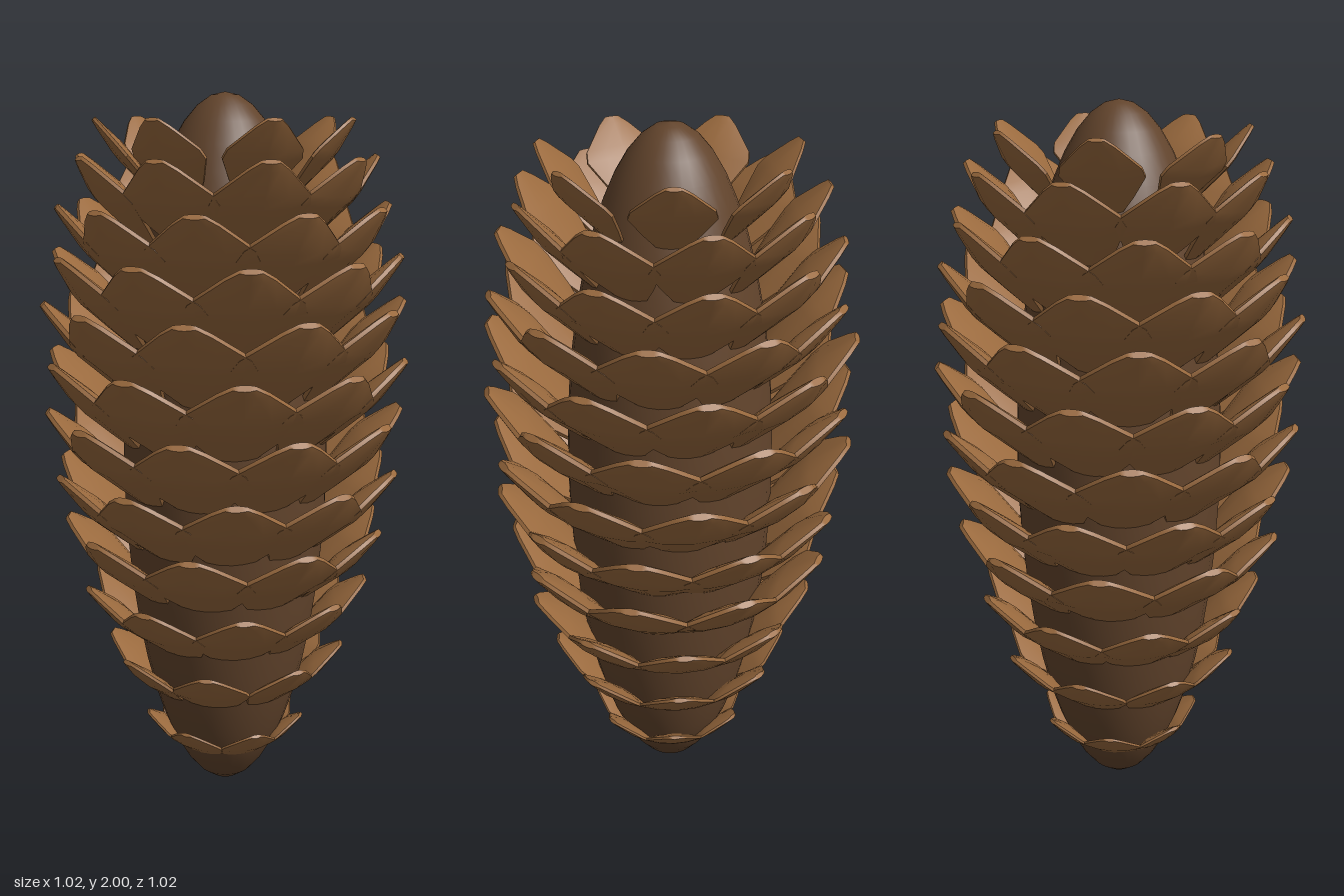
import * as THREE from 'three';
import { toCreasedNormals } from 'three/addons/utils/BufferGeometryUtils.js';

// One woody scale: a lens-shaped plate on a narrow stalk, lofted from cross-sections.
// Tip at the origin, base at y = -1, outer face towards +z, half width 0.5.
function scaleGeometry() {
  const stations = [[-1, 0.12], [-0.72, 0.33], [-0.45, 0.5], [-0.34, 0.47], [-0.08, 0.2], [0, 0.09]];
  const across = [-1, -0.5, 0, 0.5, 1];
  const rim = 0.018;
  const pos = [], idx = [];
  stations.forEach(([y, w]) => {
    const dome = (u) => w * (1 - u * u);
    const ring = [
      ...across.map((u) => [u * w, -rim - 0.13 * dome(u)]),
      ...[...across].reverse().map((u) => [u * w, rim + 0.16 * dome(u)]),
    ];
    ring.forEach(([x, z]) => pos.push(x, y, z));
  });
  const n = across.length * 2, last = (stations.length - 1) * n;
  for (let s = 0; s < stations.length - 1; s++) {
    for (let k = 0; k < n; k++) {
      const a = s * n + k, b = s * n + (k + 1) % n;
      idx.push(a, a + n, b, b, a + n, b + n);
    }
  }
  // close both ends
  for (let k = 0; k < across.length - 1; k++) {
    const p = k, q = k + 1, r = n - 2 - k, t = n - 1 - k;
    idx.push(p, q, r, p, r, t);
    idx.push(last + p, last + r, last + q, last + p, last + t, last + r);
  }
  const g = new THREE.BufferGeometry();
  g.setAttribute('position', new THREE.Float32BufferAttribute(pos, 3));
  g.setIndex(idx);
  return toCreasedNormals(g, 0.7);
}

export function createModel() {
  const cone = new THREE.Group();
  cone.name = 'pineCone';
  const scaleMat = new THREE.MeshStandardMaterial({ color: 0x9a6a3e });
  const coreMat = new THREE.MeshStandardMaterial({ color: 0x62442c });

  // Spindle-shaped core
  const profile = [];
  for (let i = 0; i <= 24; i++) {
    const a = (i / 24) * Math.PI;
    profile.push(new THREE.Vector2(0.29 * Math.sin(a), 1 - Math.cos(a)));
  }
  const core = new THREE.Mesh(new THREE.LatheGeometry(profile, 32), coreMat);
  core.name = 'core';
  cone.add(core);

  // Rings of scales from bottom to top: [tip height, tip radius, count, width, length]
  const rings = [
    [0.22, 0.23, 7, 0.17, 0.19],
    [0.44, 0.34, 8, 0.22, 0.25],
    [0.63, 0.405, 9, 0.27, 0.29],
    [0.81, 0.455, 9, 0.31, 0.32],
    [0.97, 0.485, 10, 0.32, 0.34],
    [1.13, 0.5, 10, 0.33, 0.35],
    [1.285, 0.505, 10, 0.33, 0.35],
    [1.435, 0.505, 10, 0.33, 0.36],
    [1.57, 0.485, 10, 0.32, 0.35],
    [1.7, 0.46, 10, 0.3, 0.34],
    [1.83, 0.42, 9, 0.27, 0.32],
    [1.93, 0.355, 7, 0.22, 0.28],
  ];
  const geo = scaleGeometry();
  rings.forEach(([y, radius, count, width, length], row) => {
    const ring = new THREE.Group();
    ring.name = `scaleRing${row + 1}`;
    const step = (2 * Math.PI) / count;
    // alternate rings sit half a step round, with a slow twist
    const start = row === 11 ? 0.25 : (row % 2 ? 0 : step / 2) - 0.018 * (9 - row);
    // lower scales splay out further
    const tilt = 0.87 - 0.015 * row;
    for (let j = 0; j < count; j++) {
      const angle = start + j * step;
      const scale = new THREE.Mesh(geo, scaleMat);
      scale.name = 'scale';
      scale.scale.set(width, length, width);
      scale.rotation.set(tilt, angle, 0, 'YXZ');
      scale.position.set(radius * Math.sin(angle), y, radius * Math.cos(angle));
      ring.add(scale);
    }
    cone.add(ring);
  });
  return cone;
}
